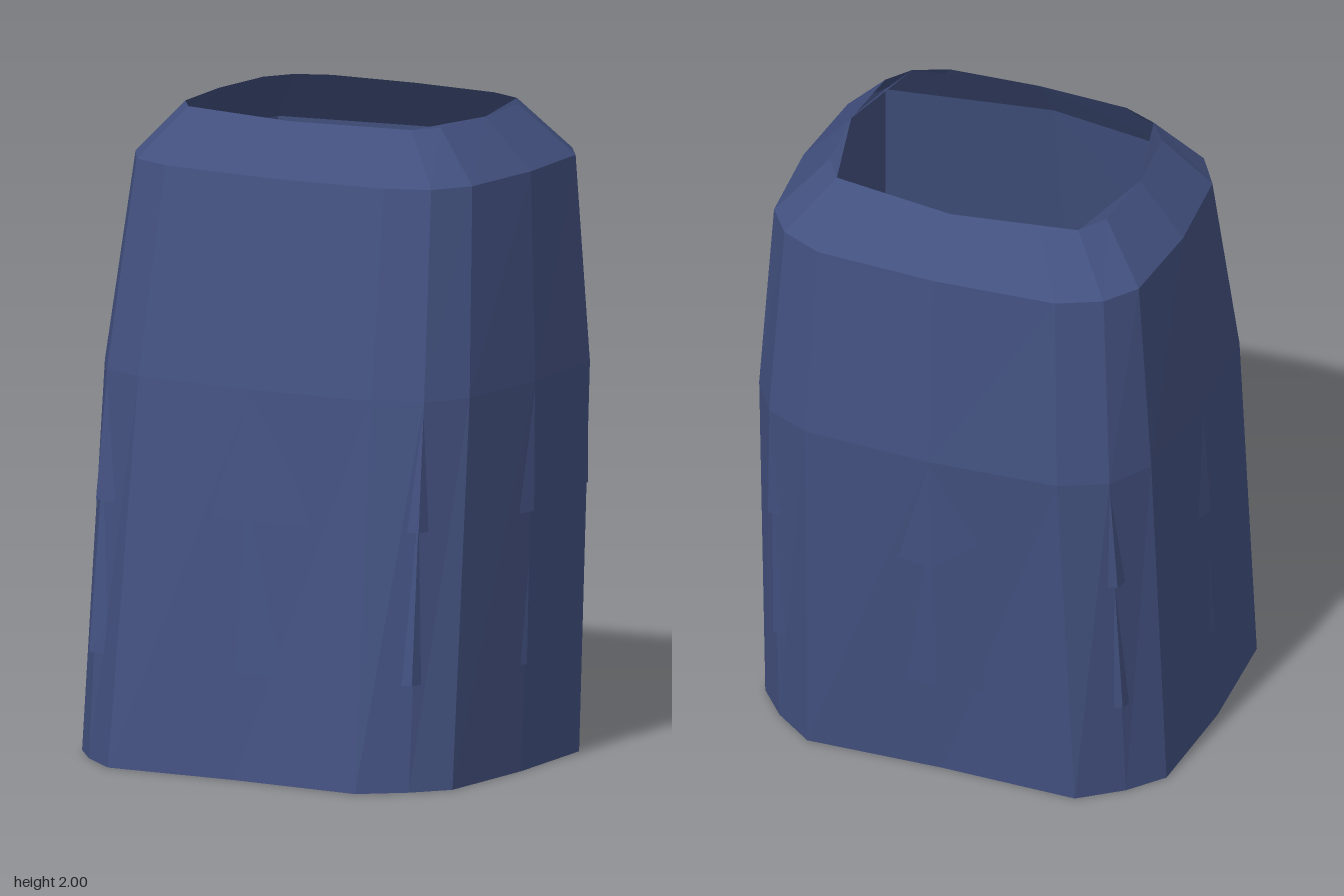
import * as THREE from 'three';

const cloth = new THREE.MeshStandardMaterial({ color: 0x435180, flatShading: true, side: THREE.DoubleSide });

// Half outline (front middle -> left side -> back middle) mirrored to a closed ring
function ring(y, half) {
  const mirrored = half.slice(1, -1).reverse().map(([x, z]) => [-x, z]);
  return [...half, ...mirrored].map(([x, z]) => [x, y, z]);
}

// Open tube through rings listed from bottom to top
function loft(name, rings) {
  const n = rings[0].length, index = [];
  for (let r = 0; r < rings.length - 1; r++) {
    for (let i = 0; i < n; i++) {
      const j = (i + 1) % n, a = r * n + i, b = r * n + j;
      index.push(a, b, b + n, a, b + n, a + n);
    }
  }
  const geometry = new THREE.BufferGeometry();
  geometry.setAttribute('position', new THREE.Float32BufferAttribute(rings.flat(2), 3));
  geometry.setIndex(index);
  geometry.computeVertexNormals();
  const mesh = new THREE.Mesh(geometry, cloth);
  mesh.name = name;
  return mesh;
}

export function createModel() {
  const group = new THREE.Group();
  group.name = 'layeredSleeve';

  // Sixteen-sided outer shell, leaning back and drawn in at the top
  const shoulder = ring(1.84, [[0, 0.41], [0.39, 0.385], [0.525, 0.33], [0.6, 0.21], [0.625, -0.1],
    [0.6, -0.41], [0.525, -0.515], [0.39, -0.58], [0, -0.6]]);
  const opening = ring(2, [[0, 0.295], [0.29, 0.28], [0.397, 0.235], [0.455, 0.155], [0.475, -0.08],
    [0.455, -0.31], [0.397, -0.4], [0.29, -0.445], [0, -0.46]]);
  group.add(loft('outerShell', [
    ring(0, [[0, 0.63], [0.44, 0.645], [0.57, 0.54], [0.66, 0.43], [0.68, 0.05],
      [0.66, -0.33], [0.57, -0.44], [0.44, -0.54], [0, -0.53]]),
    ring(1.2, [[0, 0.53], [0.415, 0.505], [0.565, 0.44], [0.65, 0.31], [0.67, -0.05],
      [0.645, -0.42], [0.56, -0.555], [0.415, -0.625], [0, -0.645]]),
    shoulder,
    opening,
  ]));

  // Eight-sided upper lining, its hem pushing slightly through the shell
  const everySecond = (points) => points.filter((_, i) => i % 2 === 0);
  group.add(loft('upperLining', [
    ring(0.8, [[0, 0.588], [0.575, 0.49], [0.684, -0.02], [0.575, -0.525], [0, -0.63]]),
    ring(1.2, [[0, 0.529], [0.564, 0.439], [0.669, -0.05], [0.559, -0.554], [0, -0.644]]),
    everySecond(shoulder).map(([x, y, z]) => [x * 0.995, y, z * 0.995]),
    everySecond(opening),
  ]));

  // Eight-sided lower lining tucked under the upper one
  group.add(loft('lowerLining', [
    ring(0.33, [[0, 0.617], [0.575, 0.53], [0.682, 0.02], [0.575, -0.482], [0, -0.582]]),
    ring(1.2, [[0, 0.522], [0.558, 0.433], [0.662, -0.05], [0.553, -0.548], [0, -0.637]]),
  ]));

  return group;
}
